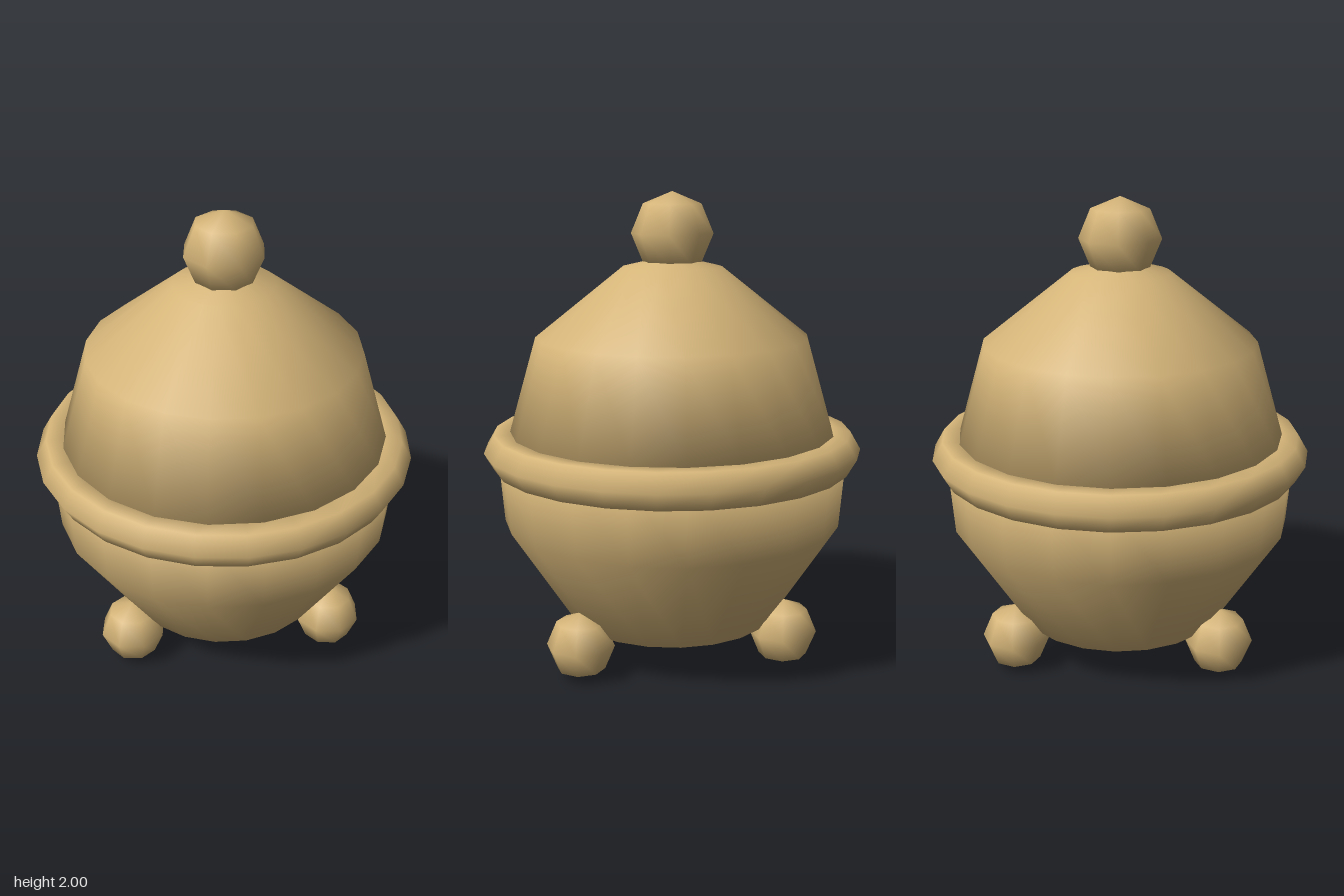
import * as THREE from 'three';

export function createModel() {
  const group = new THREE.Group();
  const brass = new THREE.MeshStandardMaterial({ color: 0xd4b478 });
  brass.name = 'warm brass';

  const add = (name, geometry, x = 0, y = 0, z = 0) => {
    const mesh = new THREE.Mesh(geometry, brass);
    mesh.name = name;
    mesh.position.set(x, y, z);
    group.add(mesh);
    return mesh;
  };
  // Profiles run from the bottom up so the skin faces outwards
  const lathe = (profile) =>
    new THREE.LatheGeometry(profile.map(([r, y]) => new THREE.Vector2(r, y)), 20);

  // Closed bowl, its top hidden by the lid and rim
  add('bowl', lathe([
    [0, 0.175], [0.435, 0.175], [0.72, 0.61], [0.747, 0.93], [0, 0.93],
  ]));

  // Closed domed lid with a soft lower edge
  add('lid', lathe([
    [0, 0.998], [0.39, 0.998], [0.69, 0.998], [0.575, 1.4], [0.21, 1.69], [0, 1.74],
  ]));

  // Rolled rim around the join
  const rim = add('rim', new THREE.TorusGeometry(0.7155, 0.0865, 6, 24), 0, 0.923, 0);
  rim.rotation.x = Math.PI / 2;

  // Knob on the lid
  add('knob', new THREE.SphereGeometry(0.172, 8, 4), 0, 1.828, 0);

  // Three ball feet, evenly spaced
  const footGeometry = new THREE.SphereGeometry(0.143, 8, 4);
  for (let i = 0; i < 3; i++) {
    const a = (i * Math.PI * 2) / 3;
    add('foot' + (i + 1), footGeometry, 0.503 * Math.cos(a), 0.146, 0.503 * Math.sin(a));
  }

  return group;
}
